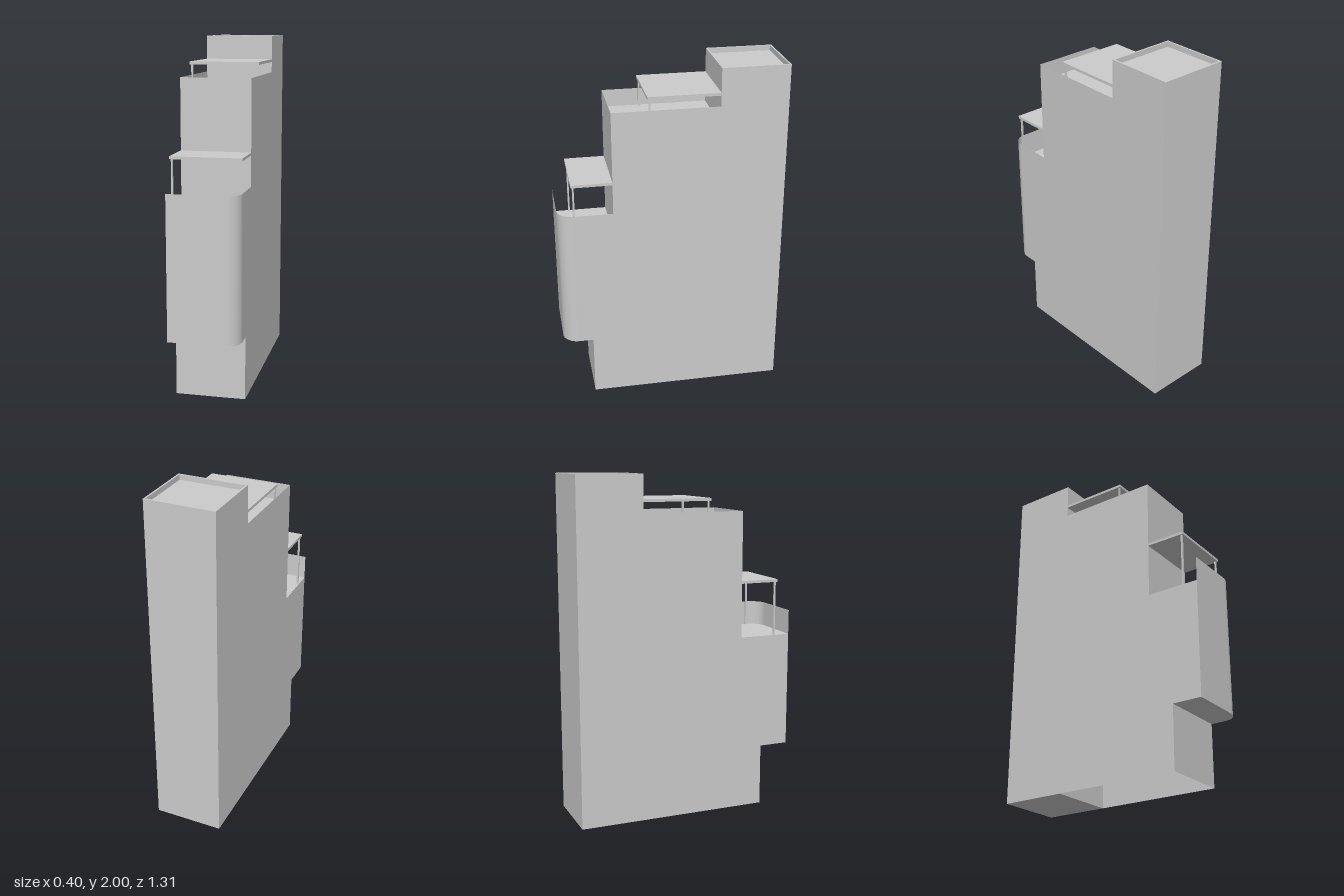
import * as THREE from 'three';

const W = 0.2;                                   // half width
const BACK = -0.653, TOWER = -0.267, MID = 0.34, BASE = 0.48, BAY = 0.653;
const R = 0.09;                                  // rounded bay corner
const SOFFIT = 0.365, LOW_FLOOR = 1.045, LOW_TOP = 1.19;
const MID_FLOOR = 1.685, MID_TOP = 1.785;

export function createModel() {
  const group = new THREE.Group();
  const solid = new THREE.MeshStandardMaterial({ color: 0xcccccc });
  const thin = new THREE.MeshStandardMaterial({ color: 0xcccccc, side: THREE.DoubleSide });

  const add = (name, geometry, material = thin, parent = group) => {
    const mesh = new THREE.Mesh(geometry, material);
    mesh.name = name;
    parent.add(mesh);
    return mesh;
  };
  const box = (name, x0, x1, y0, y1, z0, z1, parent) =>
    add(name, new THREE.BoxGeometry(x1 - x0, y1 - y0, z1 - z0), solid, parent)
      .position.set((x0 + x1) / 2, (y0 + y1) / 2, (z0 + z1) / 2);
  // Wall facing the front
  const frontWall = (name, x0, x1, y0, y1, z) =>
    add(name, new THREE.PlaneGeometry(x1 - x0, y1 - y0))
      .position.set((x0 + x1) / 2, (y0 + y1) / 2, z);
  // Wall in the side plane, from a stepped outline of [z, y] points
  const sideWall = (name, x, outline) => {
    const shape = new THREE.Shape(outline.map(([z, y]) => new THREE.Vector2(z, y)));
    const geometry = new THREE.ShapeGeometry(shape).rotateY(x < 0 ? -Math.PI / 2 : Math.PI / 2);
    if (x > 0) geometry.scale(1, 1, -1);
    // mirroring reverses the corner order, so restore it
    if (x > 0) {
      geometry.index.array.reverse();
      geometry.computeVertexNormals();
    }
    add(name, geometry).position.x = x;
  };
  // Horizontal slab face, optionally following the rounded bay corner
  const floor = (name, y, z0, z1, r = 0) => {
    const shape = new THREE.Shape();
    shape.moveTo(-W, -z0);
    shape.lineTo(-W, -z1);
    shape.lineTo(W - r, -z1);
    if (r) shape.absarc(W - r, -z1 + r, r, -Math.PI / 2, 0, false);
    else shape.lineTo(W, -z1);
    shape.lineTo(W, -z0);
    add(name, new THREE.ShapeGeometry(shape, 8).rotateX(-Math.PI / 2)).position.y = y;
  };

  // Rear tower with a shallow recessed roof
  const roof = 1.97, rim = 0.01;
  box('tower', -W, W, 0, roof, BACK, TOWER);
  const rimShape = new THREE.Shape([[-W, -TOWER], [-W, -BACK], [W, -BACK], [W, -TOWER]]
    .map(([x, y]) => new THREE.Vector2(x, y)));
  rimShape.holes.push(new THREE.Path([
    [-W + rim, -TOWER + rim], [W - rim, -TOWER + rim], [W - rim, -BACK - rim], [-W + rim, -BACK - rim],
  ].map(([x, y]) => new THREE.Vector2(x, y))));
  add('roofRim', new THREE.ExtrudeGeometry(rimShape, { depth: 2 - roof, bevelEnabled: false })
    .rotateX(-Math.PI / 2), solid).position.y = roof;

  // Stepped side walls; only the rounded side has a parapet on the lower terrace
  const stepped = (bayZ, terraceY) => [
    [TOWER, 0], [BASE, 0], [BASE, SOFFIT], [bayZ, SOFFIT], [bayZ, terraceY],
    [MID, terraceY], [MID, MID_TOP], [TOWER, MID_TOP],
  ];
  sideWall('rightSideWall', -W, stepped(BAY, LOW_FLOOR));
  sideWall('leftSideWall', W, stepped(BAY - R, LOW_TOP));

  // Front walls of the three stages
  frontWall('baseFront', -W, W, 0, SOFFIT, BASE);
  frontWall('bayFront', -W, W - R, SOFFIT, LOW_TOP, BAY);
  frontWall('upperFront', -W, W, LOW_FLOOR, MID_TOP, MID);
  add('bayRoundedCorner', new THREE.CylinderGeometry(R, R, LOW_TOP - SOFFIT, 8, 1, true, 0, Math.PI / 2))
    .position.set(W - R, (LOW_TOP + SOFFIT) / 2, BAY - R);

  // Bay underside and terrace floors
  floor('baySoffit', SOFFIT, BASE, BAY, R);
  floor('lowerTerraceFloor', LOW_FLOOR, MID, BAY, R);
  floor('upperTerraceFloor', MID_FLOOR, TOWER, MID);

  // Flat canopies on two slim posts
  const canopy = (name, floorY, topY, z0, z1) => {
    const part = new THREE.Group();
    part.name = name;
    group.add(part);
    const under = topY - 0.016, t = 0.005, postZ = z1 - 0.013;
    box('canopySlab', -W, W, under, topY, z0, z1, part);
    for (const x of [-0.188, 0.188])
      box('canopyPost', x - t, x + t, floorY, under, postZ - t, postZ + t, part);
  };
  canopy('upperCanopy', MID_FLOOR, 1.862, TOWER, 0.14);
  canopy('lowerCanopy', LOW_FLOOR, 1.38, MID, 0.573);

  return group;
}
